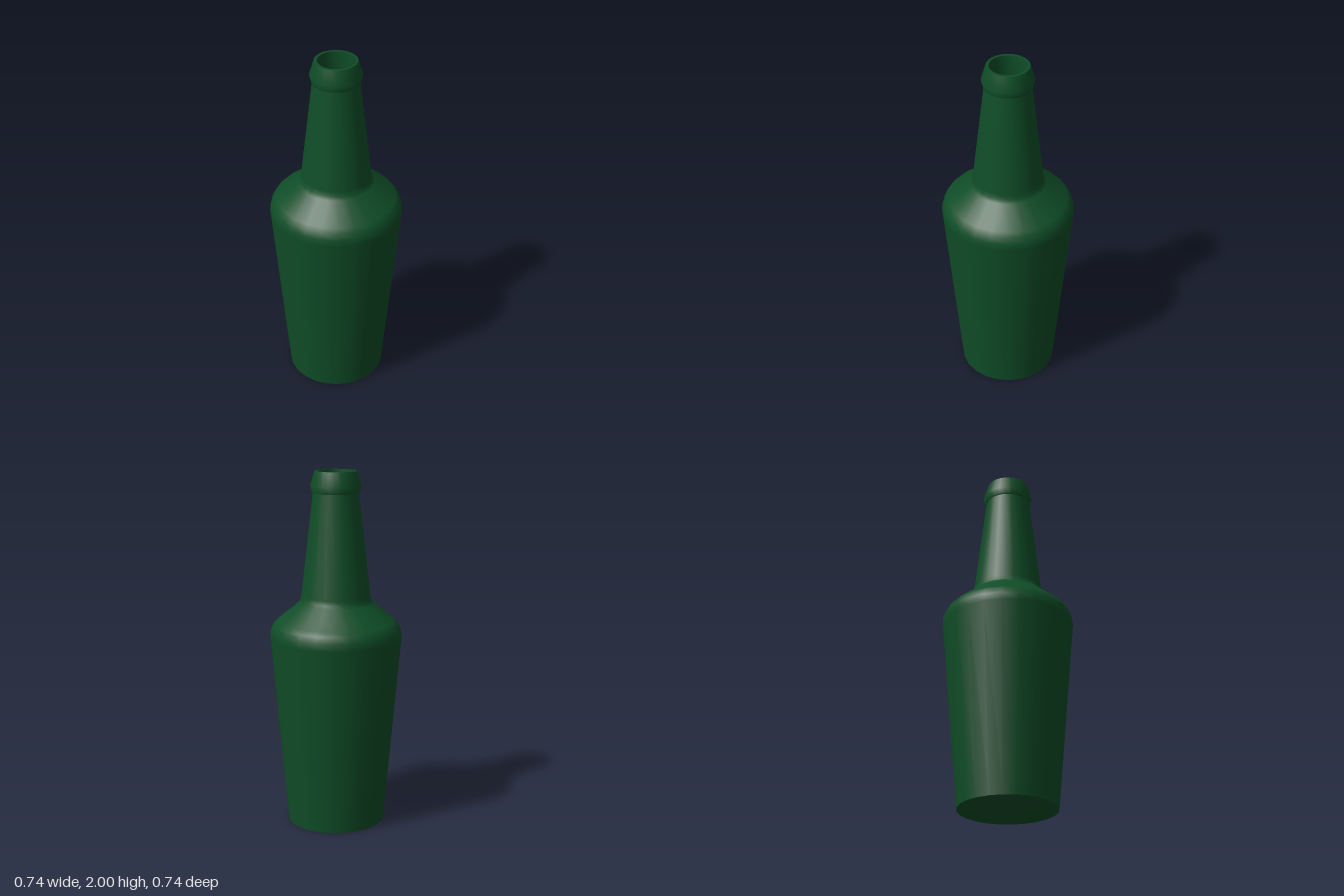
import * as THREE from 'three';

const SIDES = 24;

export function createModel() {
  const bottle = new THREE.Group();
  bottle.name = 'bottle';
  const glass = new THREE.MeshStandardMaterial({ color: 0x0f4d27 });
  glass.name = 'dark green glass';

  // Each turned section is smooth; edges between sections stay sharp.
  // Profiles run from the base centre, up the outside and down the inside.
  function turned(name, profile) {
    const points = profile.map(([r, y]) => new THREE.Vector2(r, y));
    const mesh = new THREE.Mesh(new THREE.LatheGeometry(points, SIDES), glass);
    mesh.name = name;
    bottle.add(mesh);
  }

  // Shallow hollow under the base, with a narrow foot ring
  turned('baseHollow', [[0, 0.05], [0.12, 0.043], [0.2, 0.025], [0.25, 0.003], [0.258, 0]]);
  turned('footRing', [[0.258, 0], [0.275, 0]]);

  // Tapered body, rounded shoulder and neck
  turned('bodyAndNeck', [
    [0.275, 0], [0.37, 1.07], [0.367, 1.11], [0.352, 1.145], [0.332, 1.168],
    [0.212, 1.265], [0.199, 1.284], [0.193, 1.31], [0.127, 1.88],
  ]);

  // Overhanging lip
  turned('lipUnderside', [[0.127, 1.88], [0.132, 1.88]]);
  turned('lip', [[0.132, 1.88], [0.142, 1.918], [0.117, 2]]);
  turned('rim', [[0.117, 2], [0.101, 2]]);

  // Inside wall and floor
  turned('insideWall', [
    [0.101, 2], [0.101, 1.88], [0.165, 1.31], [0.18, 1.26], [0.31, 1.15],
    [0.34, 1.07], [0.25, 0.07],
  ]);
  turned('insideFloor', [[0.25, 0.07], [0, 0.07]]);

  return bottle;
}
